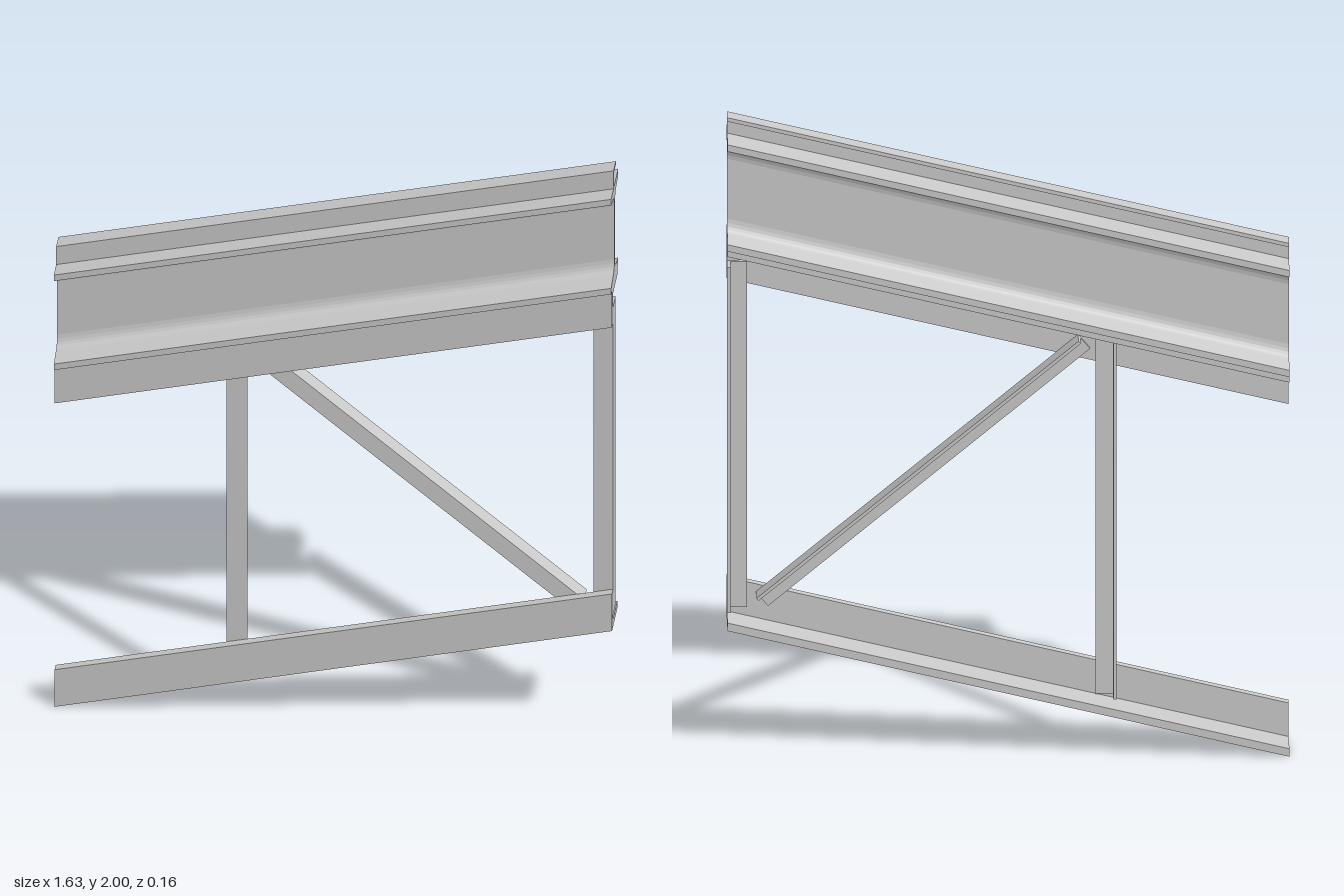
import * as THREE from 'three';

const HALF = 0.815;   // half length along x
const SLOPE = 0.25;   // rise of the sloping members
const material = new THREE.MeshStandardMaterial({ color: 0xcccccc });

function mesh(name, geometry) {
  const m = new THREE.Mesh(geometry, material);
  m.name = name;
  return m;
}

// Sloping member: section in (z, y) at x = 0, sheared so the ends stay vertical
function slopingMember(name, section) {
  const shape = new THREE.Shape(section.map(([z, y]) => new THREE.Vector2(-z, y)));
  const g = new THREE.ExtrudeGeometry(shape, { depth: 2 * HALF, bevelEnabled: false });
  g.translate(0, 0, -HALF);
  g.rotateY(Math.PI / 2);
  const p = g.attributes.position;
  for (let i = 0; i < p.count; i++) p.setY(i, p.getY(i) + SLOPE * p.getX(i));
  g.computeVertexNormals();
  return mesh(name, g);
}

// L section: front leg hangs from (or stands on) a horizontal leg
function angleSection(front, back, flatY, tipY, t) {
  const s = Math.sign(tipY - flatY);
  return [[front, flatY], [back, flatY], [back, flatY + s * t],
    [front - t, flatY + s * t], [front - t, tipY], [front, tipY]];
}

// Upright angle bar from y = 0, centred on x; its rear leg is on the given side
function angleBar(name, width, length, side) {
  const w = width / 2, t = 0.01, front = 0.035, back = -0.02;
  const pts = [[-w, front], [w, front], [w, back], [w - t, back], [w - t, front - t], [-w, front - t]];
  const shape = new THREE.Shape(pts.map(([x, z]) => new THREE.Vector2(side * x, -z)));
  const g = new THREE.ExtrudeGeometry(shape, { depth: length, bevelEnabled: false });
  g.rotateX(-Math.PI / 2);
  return mesh(name, g);
}

// I-beam section with tapered flanges and filleted web
function beamSection() {
  const top = 1.733, bottom = 1.4, mid = (top + bottom) / 2;
  const fillet = new THREE.QuadraticBezierCurve(
    new THREE.Vector2(0.028, 1.699), new THREE.Vector2(0.008, 1.694), new THREE.Vector2(0.005, 1.66));
  const quarter = [[0.08, top], [0.08, 1.712], ...fillet.getPoints(5).map((p) => [p.x, p.y])];
  const right = [...quarter, ...quarter.map(([z, y]) => [z, 2 * mid - y]).reverse()];
  return [...right, ...right.map(([z, y]) => [-z, y]).reverse()];
}

export function createModel() {
  const group = new THREE.Group();
  group.name = 'trussSection';

  // Upper beam with its cap and the angle beneath it
  group.add(slopingMember('upperBeam', beamSection()));
  group.add(slopingMember('topCapAngle', angleSection(0.025, -0.025, 1.796, 1.733, 0.012)));
  group.add(slopingMember('upperChordAngle', angleSection(0.06, -0.06, 1.4, 1.27, 0.025)));

  // Lower chord
  group.add(slopingMember('lowerChordAngle', angleSection(0.06, -0.06, 0.206, 0.336, 0.025)));

  // Posts
  const innerPost = angleBar('innerPost', 0.06, 1.12, -1);
  innerPost.position.set(-0.285, 0.17, 0);
  const endPost = angleBar('endPost', 0.058, 1.08, 1);
  endPost.position.set(0.786, 0.45, 0);

  // Diagonal brace
  const brace = angleBar('diagonalBrace', 0.054, 1.227, 1);
  brace.position.set(0.713, 0.474, 0);
  brace.rotation.z = Math.atan2(0.858, 0.73);

  group.add(innerPost, endPost, brace);
  return group;
}
